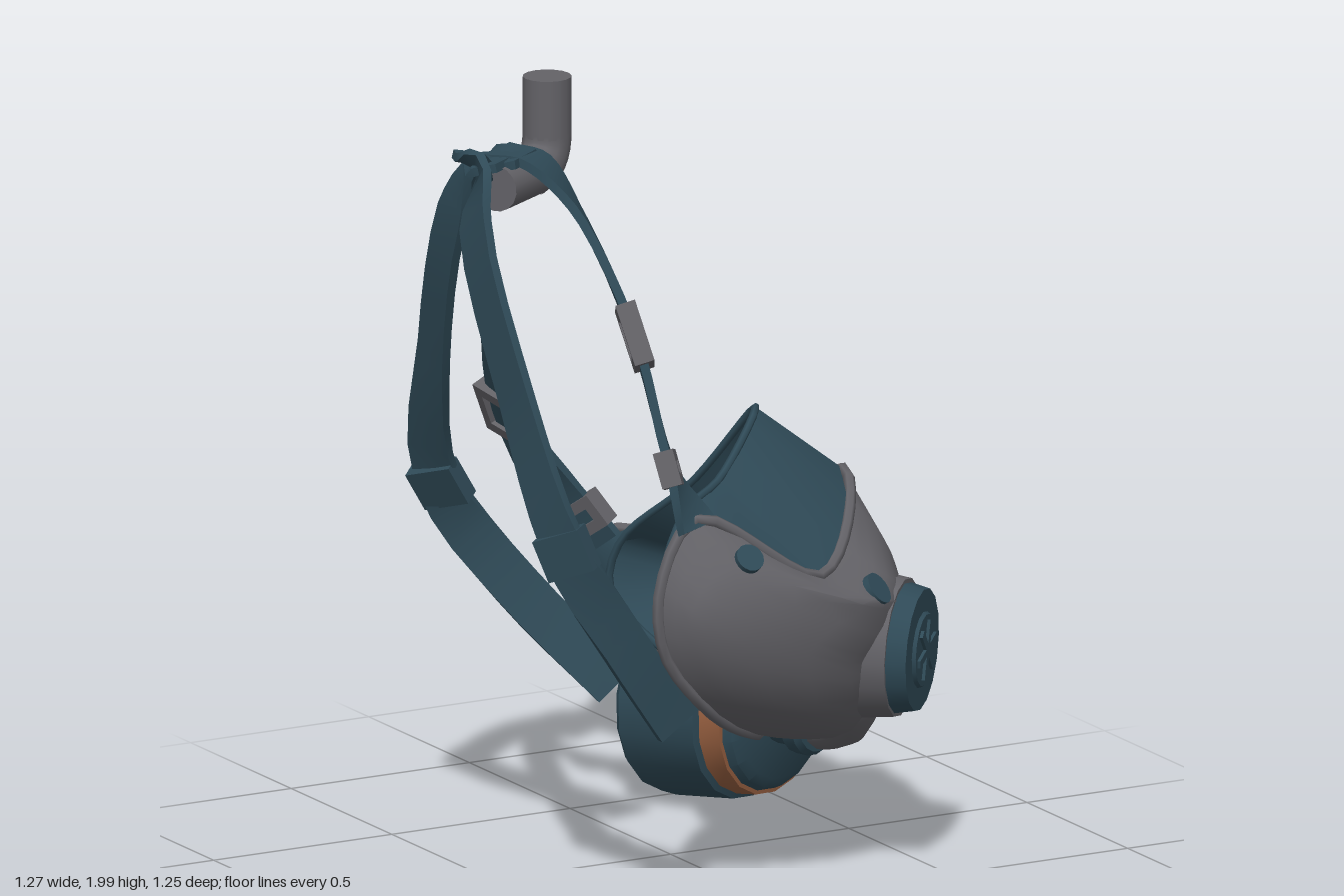
import * as THREE from 'three';
import { toCreasedNormals } from 'three/addons/utils/BufferGeometryUtils.js';

const V = (x, y, z) => new THREE.Vector3(x, y, z);
const toVecs = (list) => list.map((p) => V(...p));

function material(name, color) {
  const m = new THREE.MeshStandardMaterial({ color });
  m.name = name;
  return m;
}

// Skin between closed rings of points
function loft(rings, { flip = false, caps = false, crease = 0.7 } = {}) {
  const n = rings[0].length, last = (rings.length - 1) * n, index = [];
  const tri = (a, b, c) => (flip ? index.push(a, c, b) : index.push(a, b, c));
  for (let j = 0; j < rings.length - 1; j++) {
    for (let i = 0; i < n; i++) {
      const a = j * n + i, b = j * n + ((i + 1) % n);
      tri(a, b, b + n);
      tri(a, b + n, a + n);
    }
  }
  if (caps) {
    for (let i = 1; i < n - 1; i++) {
      tri(0, i + 1, i);
      tri(last, last + i, last + i + 1);
    }
  }
  const geo = new THREE.BufferGeometry().setFromPoints(rings.flat());
  geo.setIndex(index);
  return toCreasedNormals(geo, crease);
}

// Flat strap along a path, turned by a width direction at each point
function strapGeometry(path, widths, width, thick = 0.022) {
  const curve = new THREE.CatmullRomCurve3(toVecs(path));
  const turn = new THREE.CatmullRomCurve3(toVecs(widths));
  const rings = [];
  for (let s = 0; s <= 24; s++) {
    const p = curve.getPoint(s / 24), t = curve.getTangent(s / 24);
    const n = t.clone().cross(turn.getPoint(s / 24)).normalize();
    const w = n.clone().cross(t).normalize();
    rings.push([[1, 1], [-1, 1], [-1, -1], [1, -1]].map(([a, b]) =>
      p.clone().addScaledVector(w, (a * width) / 2).addScaledVector(n, (b * thick) / 2)));
  }
  return loft(rings, { caps: true });
}

export function createModel() {
  const teal = material('dark teal rubber', 0x2f4a57);
  const grey = material('grey shell', 0x636267);
  const orange = material('orange marking', 0x965f40);
  const group = new THREE.Group();

  const add = (name, geo, mat) => {
    const mesh = new THREE.Mesh(geo, mat);
    mesh.name = name;
    group.add(mesh);
    return mesh;
  };
  // Turn a mesh so its y axis follows a direction
  const aim = (mesh, pos, dir) => {
    mesh.position.set(...pos);
    mesh.quaternion.setFromUnitVectors(V(0, 1, 0), V(...dir).normalize());
    return mesh;
  };
  const disc = (name, pos, dir, r, h, mat, r2 = r) =>
    aim(add(name, new THREE.CylinderGeometry(r2, r, h, 16), mat), pos, dir);
  const rod = (name, a, b, r, mat) => {
    const p = V(...a), q = V(...b), d = q.clone().sub(p);
    return disc(name, p.clone().lerp(q, 0.5).toArray(), d.toArray(), r, d.length(), mat);
  };

  // Mask: rings from the open rear edge to the front, each from nose over right cheek, chin and left cheek
  const sealRing = [
    [0.12, 1.17, 0.21], [-0.04, 1.04, 0.32], [-0.2, 0.99, 0.42], [-0.28, 0.85, 0.46],
    [-0.25, 0.66, 0.46], [-0.09, 0.5, 0.4], [0.08, 0.42, 0.26], [0.11, 0.42, 0.07],
    [0.03, 0.5, -0.1], [-0.05, 0.63, -0.21], [-0.04, 0.76, -0.18], [0.06, 0.94, 0]];
  const rimRing = [
    [0.37, 0.98, 0.2], [0.13, 0.81, 0.51], [-0.2, 0.99, 0.48], [-0.31, 0.84, 0.5],
    [-0.3, 0.67, 0.5], [-0.15, 0.49, 0.47], [0.08, 0.37, 0.3], [0.14, 0.39, 0.05],
    [0.05, 0.49, -0.14], [-0.05, 0.63, -0.27], [-0.05, 0.76, -0.28], [0.2, 0.77, -0.05]];
  const cheekRing = [
    [0.43, 0.85, 0.24], [0.25, 0.75, 0.57], [-0.1, 0.84, 0.6], [-0.22, 0.76, 0.59],
    [-0.18, 0.62, 0.57], [-0.05, 0.47, 0.5], [0.18, 0.35, 0.32], [0.22, 0.4, 0.09],
    [0.14, 0.5, -0.1], [0.1, 0.6, -0.2], [0.17, 0.68, -0.18], [0.34, 0.72, 0.03]];
  const frontRing = [
    [0.46, 0.72, 0.28], [0.38, 0.7, 0.48], [0.25, 0.66, 0.57], [0.18, 0.6, 0.58],
    [0.2, 0.52, 0.55], [0.24, 0.43, 0.48], [0.31, 0.36, 0.34], [0.35, 0.42, 0.2],
    [0.35, 0.48, 0.1], [0.36, 0.55, 0.06], [0.39, 0.62, 0.08], [0.43, 0.67, 0.16]];
  const N = 36;
  const sample = (ring) => {
    const c = new THREE.CatmullRomCurve3(toVecs(ring), true, 'centripetal');
    return Array.from({ length: N }, (_, i) => c.getPoint(i / N));
  };
  const [seal, rim, cheek, front] = [sealRing, rimRing, cheekRing, frontRing].map(sample);
  const tip = Array.from({ length: N }, () => V(0.46, 0.55, 0.32));
  const between = (a, b, t) => a.map((p, i) => p.clone().lerp(b[i], t));
  // Shell columns run smoothly from rim to tip
  const columns = rim.map((p, i) => new THREE.CatmullRomCurve3([p, cheek[i], front[i], tip[i]]));
  const shell = Array.from({ length: 10 }, (_, j) => columns.map((c) => c.getPoint(j / 9)));
  add('faceSeal', loft([seal, between(seal, rim, 0.5), rim]), teal);
  add('maskShell', loft(shell), grey);
  // Lining on the inside of the mask
  const middle = V(0.08, 0.68, 0.15);
  const shrink = (ring) => ring.map((p) => p.clone().lerp(middle, 0.13));
  add('maskLining', loft([seal, ...shell.map(shrink)], { flip: true }), teal);
  const edge = (name, ring, r, mat) => add(name, new THREE.TubeGeometry(
    new THREE.CatmullRomCurve3(toVecs(ring), true, 'centripetal'), 60, r, 6, true), mat);
  edge('sealLip', sealRing, 0.01, teal);
  edge('shellRim', rimRing, 0.015, grey);

  // Studs on the cheek
  disc('cheekStud', [-0.1, 0.893, 0.562], [0, 0.63, 0.77], 0.036, 0.03, teal);
  disc('cheekStud', [0.27, 0.753, 0.522], [0.5, 0.6, 0.65], 0.042, 0.05, teal);

  // Small marks on the front of the shell
  for (const [y, z, tilt] of [[0.59, 0.23, 0.4], [0.6, 0.11, -0.3]]) {
    const away = (p) => Math.hypot(p.y - y, p.z - z);
    const spot = shell.flat().filter((p) => p.x > 0.3).reduce((a, b) => (away(b) < away(a) ? b : a));
    const mark = add('shellMark', new THREE.BoxGeometry(0.009, 0.014, 0.06), orange);
    mark.position.copy(spot).add(V(0.003, 0, 0));
    mark.rotation.set(tilt, 0.25, 0);
  }

  // Exhale valve with raised cover and ribs
  const out = [0.71, -0.03, 0.71];
  disc('valveHousing', [0.365, 0.585, 0.43], out, 0.182, 0.08, grey, 0.172);
  disc('valveCover', [0.4, 0.583, 0.468], out, 0.168, 0.075, teal, 0.152);
  disc('valveCap', [0.427, 0.582, 0.495], out, 0.1, 0.016, teal, 0.09);
  for (let i = 0; i < 3; i++) {
    const rib = aim(add('valveRib', new THREE.BoxGeometry(0.15, 0.012, 0.02), teal), [0.434, 0.582, 0.502], out);
    rib.rotateY((i * Math.PI) / 3);
  }

  // Hose to the filter
  disc('hoseSocket', [0.378, 0.52, 0.092], [0.7, -0.55, -0.35], 0.088, 0.05, teal);
  add('hose', new THREE.TubeGeometry(new THREE.CatmullRomCurve3(toVecs([
    [0.385, 0.505, 0.09], [0.43, 0.43, 0.06], [0.495, 0.32, 0.0], [0.515, 0.265, -0.08],
    [0.49, 0.25, -0.16], [0.46, 0.255, -0.22]])), 20, 0.075, 10), grey);

  // Filter canister, turned about its own axis
  const canister = new THREE.Group();
  canister.name = 'filterCanister';
  aim(canister, [0.45, 0.262, -0.23], [-0.4, 0.02, -0.92]);
  group.add(canister);
  const turned = (name, profile, mat) => {
    const geo = new THREE.LatheGeometry(profile.map((p) => new THREE.Vector2(...p)), 18);
    canister.add(add(name, toCreasedNormals(geo, 0.6), mat));
  };
  turned('canisterNeck', [[0, -0.11], [0.088, -0.11], [0.1, -0.095], [0.1, -0.06], [0.085, -0.05], [0.085, 0.01]], teal);
  turned('canisterFront', [[0, 0], [0.175, 0], [0.2, 0.015], [0.21, 0.035]], teal);
  turned('canisterBand', [[0.21, 0.035], [0.22, 0.036], [0.228, 0.093], [0.22, 0.095]], orange);
  turned('canisterBody', [[0.22, 0.095], [0.242, 0.102], [0.262, 0.27], [0.26, 0.315], [0.248, 0.33], [0, 0.33]], teal);
  // Label patch on the outer side of the canister
  const label = new THREE.CylinderGeometry(0.2645, 0.256, 0.075, 8, 1, true, -0.46, 0.92);
  label.translate(0, 0.212, 0);
  const patch = add('canisterLabel', label, orange);
  canister.add(patch);
  const side = V(1, 0.08, -0.3).applyQuaternion(canister.quaternion.clone().invert());
  patch.rotation.y = Math.atan2(side.x, side.z);

  // Wall hook
  rod('hookPost', [-0.31, 2.0, -0.065], [-0.31, 1.85, -0.065], 0.06, grey);
  add('hookElbow', new THREE.TubeGeometry(new THREE.QuadraticBezierCurve3(
    V(-0.31, 1.86, -0.065), V(-0.31, 1.775, -0.065), V(-0.39, 1.775, -0.015)), 8, 0.06, 12), grey);
  rod('hookArm', [-0.38, 1.775, -0.021], [-0.53, 1.775, 0.07], 0.058, grey);

  // Straps from the hook to both sides of the mask
  const strap = (name, path, widths, width) => add(name, strapGeometry(path, widths, width), teal);
  strap('rightUpperStrap',
    [[-0.47, 1.835, -0.03], [-0.41, 1.825, 0.06], [-0.34, 1.7, 0.15], [-0.27, 1.42, 0.3], [-0.24, 1.12, 0.42], [-0.2, 0.97, 0.49]],
    [[-0.86, 0, 0.5], [-0.8, 0.1, 0.55], [-0.55, 0.35, 0.75], [-0.45, 0.35, 0.8], [-0.5, 0.25, 0.8], [-0.9, 0.05, 0.3]], 0.13);
  strap('rightLowerStrap',
    [[-0.53, 1.835, -0.03], [-0.55, 1.82, 0.05], [-0.61, 1.7, 0.11], [-0.6, 1.3, 0.3], [-0.55, 0.96, 0.44], [-0.4, 0.7, 0.47], [-0.24, 0.47, 0.46]],
    [[-0.86, 0, 0.5], [-0.5, 0.2, 0.7], [0.05, 0.35, 0.9], [0.15, 0.35, 0.9], [0.35, 0.4, 0.65], [0.8, 0.5, 0], [0.8, 0.4, 0]], 0.12);
  strap('leftUpperStrap',
    [[-0.44, 1.835, 0.06], [-0.5, 1.82, -0.02], [-0.46, 1.58, -0.13], [-0.36, 1.3, -0.25], [-0.27, 1.08, -0.32], [-0.14, 0.86, -0.3], [-0.06, 0.74, -0.24]],
    [[-0.86, 0, 0.5], [-0.7, -0.2, 0.6], [-0.45, -0.35, 0.8], [-0.2, -0.35, 0.9], [0.2, -0.3, 0.9], [0.4, 0.4, 0.8], [0.4, 0.4, 0.8]], 0.13);
  strap('leftLowerStrap',
    [[-0.5, 1.835, 0.07], [-0.55, 1.815, 0], [-0.58, 1.68, -0.06], [-0.54, 1.3, -0.22], [-0.45, 0.93, -0.36], [-0.28, 0.66, -0.27], [-0.09, 0.42, -0.11]],
    [[-0.86, 0, 0.5], [-0.5, -0.1, 0.7], [-0.05, -0.4, 0.9], [0.05, -0.4, 0.9], [0.5, 0, 0.7], [0.8, 0.5, 0.2], [0.8, 0.4, 0.3]], 0.12);

  // Buckles: rectangular frames laid flat on the straps
  const rect = (Type, w, h) => new Type([[-w, -h], [w, -h], [w, h], [-w, h]].map(([x, y]) => new THREE.Vector2(x, y)));
  const orient = (mesh, pos, dir, width) => {
    const y = V(...dir).normalize(), z = V(...width).cross(y).normalize(), x = y.clone().cross(z);
    mesh.quaternion.setFromRotationMatrix(new THREE.Matrix4().makeBasis(x, y, z));
    mesh.position.set(...pos);
  };
  const buckle = (pos, dir, width, w = 0.092, h = 0.078) => {
    const shape = rect(THREE.Shape, w, h);
    shape.holes.push(rect(THREE.Path, w - 0.028, h - 0.028));
    const geo = new THREE.ExtrudeGeometry(shape, { depth: 0.05, bevelEnabled: false }).translate(0, 0, -0.025);
    orient(add('strapBuckle', geo, grey), pos, dir, width);
  };
  buckle([-0.27, 1.42, 0.3], [0.1, -0.85, 0.42], [-0.45, 0.35, 0.8]);
  buckle([-0.245, 1.11, 0.425], [0.1, -0.9, 0.35], [-0.5, 0.25, 0.8], 0.085, 0.045);
  buckle([-0.27, 1.08, -0.32], [0.4, -0.85, -0.2], [0.2, -0.3, 0.9], 0.092, 0.07);
  buckle([-0.1, 0.8, -0.28], [0.45, -0.75, 0.35], [0.4, 0.4, 0.8], 0.085, 0.045);

  // Sliders on the lower straps
  for (const [pos, dir, width] of [
    [[-0.54, 0.94, 0.44], [0.3, -0.9, 0.2], [0.4, 0.4, 0.6]],
    [[-0.445, 0.92, -0.355], [0.5, -0.85, 0], [0.5, 0, 0.7]]]) {
    orient(add('strapSlider', new THREE.BoxGeometry(0.13, 0.11, 0.05), teal), pos, dir, width);
  }
  return group;
}
